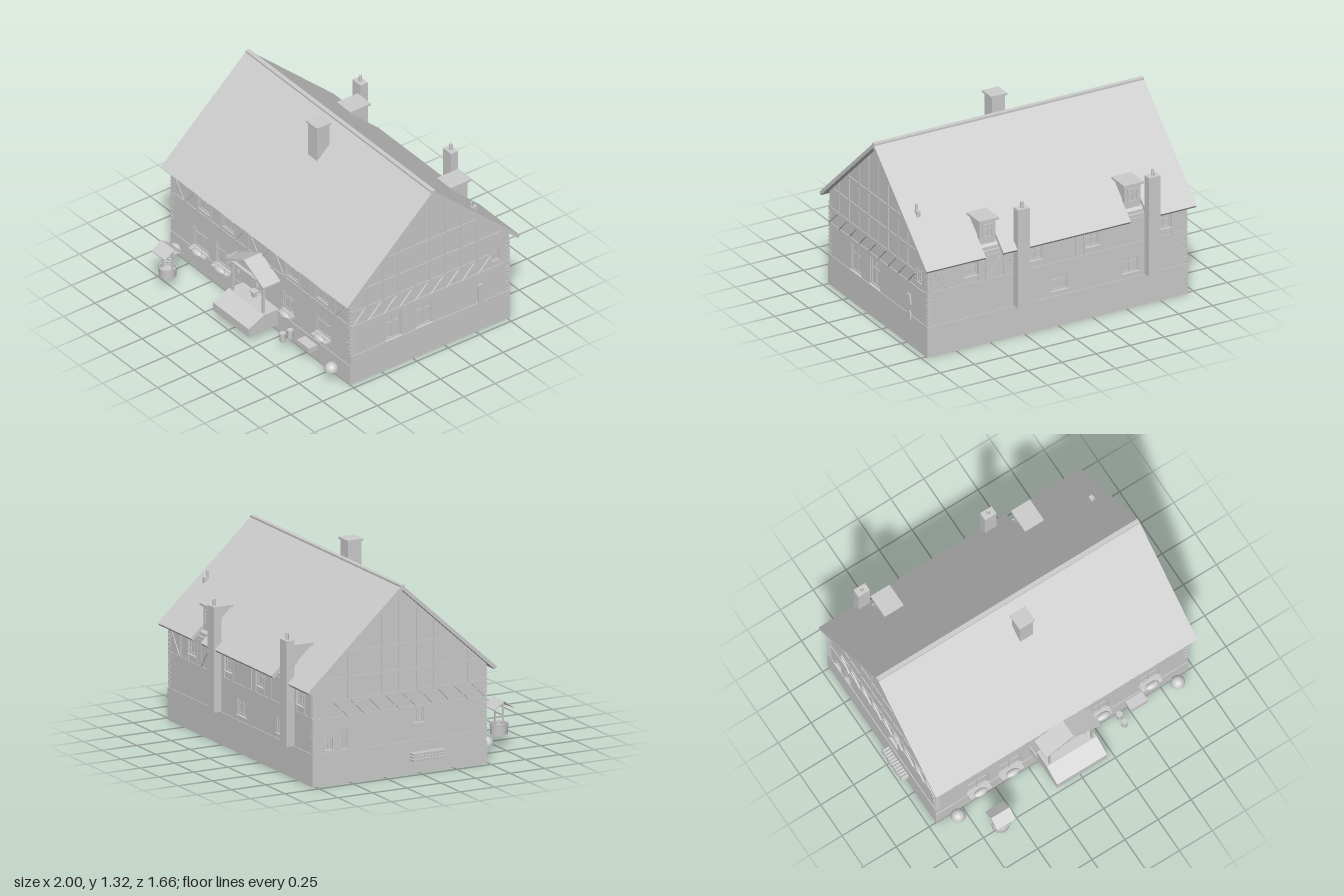
import * as THREE from 'three';

const grey = new THREE.MeshStandardMaterial({ color: 0xcccccc });
grey.name = 'plainGrey';
grey.side = THREE.DoubleSide;

function add(parent, name, geo, x = 0, y = 0, z = 0) {
  const m = new THREE.Mesh(geo, grey);
  m.name = name;
  m.position.set(x, y, z);
  parent.add(m);
  return m;
}

// Box given by its limits on each axis
function box(parent, name, x0, x1, y0, y1, z0, z1) {
  return add(parent, name, new THREE.BoxGeometry(x1 - x0, y1 - y0, z1 - z0),
    (x0 + x1) / 2, (y0 + y1) / 2, (z0 + z1) / 2);
}

function group(parent, name, x = 0, y = 0, z = 0, ry = 0) {
  const g = new THREE.Group();
  g.name = name;
  g.position.set(x, y, z);
  g.rotation.y = ry;
  parent.add(g);
  return g;
}

const shape = pts => new THREE.Shape(pts.map(p => new THREE.Vector2(p[0], p[1])));
const extrude = (s, depth) => new THREE.ExtrudeGeometry(s, { depth, bevelEnabled: false });

// Profile in (z, y), extruded from x0 to x1
function alongX(parent, name, pts, x0, x1) {
  const m = add(parent, name, extrude(shape(pts.map(p => [-p[0], p[1]])), x1 - x0), x0);
  m.rotation.y = Math.PI / 2;
}

// Flat timber between two points of a wall
function beam(wall, u0, v0, u1, v1, w = 0.016, d = 0.005) {
  const m = add(wall, 'timber', new THREE.BoxGeometry(Math.hypot(u1 - u0, v1 - v0), w, d),
    (u0 + u1) / 2, (v0 + v1) / 2, d / 2);
  m.rotation.z = Math.atan2(v1 - v0, u1 - u0);
}

const DEEP = 0.015;                            // depth of the window openings
const ZF = 0.496, ZB = -0.765, XR = -0.945, XL = 0.957;   // wall planes
const RZ = -0.135, RY = 1.26, SLOPE = 0.908;   // ridge line and roof pitch
const underRoof = z => RY - 0.033 - SLOPE * Math.abs(z - RZ);

// Framed window with a cross of glazing bars, set back into its opening
function windowAt(wall, [u0, u1, v0, v1, sill], z = -DEEP) {
  const g = group(wall, 'window', 0, 0, z), t = 0.01, c = (u0 + u1) / 2, bar = v0 + (v1 - v0) * 0.62;
  box(g, 'frameLeft', u0, u0 + t, v0, v1, 0, 0.006);
  box(g, 'frameRight', u1 - t, u1, v0, v1, 0, 0.006);
  box(g, 'frameTop', u0, u1, v1 - t, v1, 0, 0.006);
  box(g, 'frameBottom', u0, u1, v0, v0 + t, 0, 0.006);
  box(g, 'mullion', c - 0.004, c + 0.004, v0, v1, 0, 0.005);
  box(g, 'crossBar', u0, u1, bar, bar + 0.007, 0, 0.005);
  if (sill) box(wall, 'sill', u0 - 0.008, u1 + 0.008, v0 - 0.008, v0, -0.01, 0.01);
}

// Wall sheet pierced by its openings
function wallSheet(wall, outline, openings) {
  const s = shape(outline);
  for (const [a, b, c, d] of openings)
    s.holes.push(new THREE.Path([[a, c], [b, c], [b, d], [a, d]].map(p => new THREE.Vector2(...p))));
  add(wall, 'wallSheet', extrude(s, DEEP), 0, 0, -DEEP);
  openings.forEach(o => windowAt(wall, o));
}

function dome(parent, name, x, y, z, rx, ry, rz) {
  add(parent, name, new THREE.SphereGeometry(1, 16, 6, 0, Math.PI * 2, 0, Math.PI / 2), x, y, z).scale.set(rx, ry, rz);
}

export function createModel() {
  const house = new THREE.Group();
  house.name = 'house';

  // Wall core, hollow foundation with a slight ledge, floor plate
  const gable = (a, b) => [[a, 0.2], [a, underRoof(a)], [RZ, underRoof(RZ)], [b, underRoof(b)], [b, 0.2]];
  alongX(house, 'wallCore', gable(ZF - DEEP, ZB + DEEP), XR + DEEP, XL - DEEP);
  box(house, 'foundationFront', XR, XL, 0, 0.215, 0.473, ZF - DEEP);
  box(house, 'frontLedge', XR - 0.005, XL + 0.005, 0, 0.145, ZF - DEEP, ZF + 0.005);
  box(house, 'foundationBack', XR - 0.005, XL + 0.005, 0, 0.215, ZB - 0.005, -0.745);
  box(house, 'foundationLeft', 0.932, XL + 0.005, 0, 0.215, -0.745, ZF);
  box(house, 'foundationRight', XR - 0.005, -0.923, 0, 0.215, -0.745, ZF);
  box(house, 'floorPlate', -0.33, 0.08, 0.16, 0.2, 0.0, 0.38);

  // Roof slopes; the back one is notched for the dormers
  const drop = 0.625, run = 0.688, len = Math.hypot(drop, run), dormers = [-0.567, 0.497];
  for (const back of [false, true]) {
    const g = group(house, back ? 'backRoof' : 'frontRoof', 0.007, RY, RZ, back ? Math.PI : 0);
    const pts = [[-0.991, 0], [-0.991, -len]];
    if (back) for (const d of [...dormers].reverse()) {
      const u = 0.007 - d;
      pts.push([u - 0.065, -len], [u - 0.065, -0.77], [u + 0.065, -0.77], [u + 0.065, -len]);
    }
    pts.push([0.991, -len], [0.991, 0]);
    add(g, 'roofSlab', extrude(shape(pts), 0.024).translate(0, 0, -0.024)).rotation.x = -Math.atan2(run, drop);
  }
  box(house, 'ridgeCap', -0.984, 0.998, 1.24, 1.26, RZ - 0.015, RZ + 0.015);

  // Chimneys
  box(house, 'mainChimney', -0.043, 0.054, 1.0, 1.306, -0.012, 0.085);
  box(house, 'mainChimneyCap', -0.053, 0.065, 1.306, 1.32, -0.022, 0.094);
  for (const x of [-0.672, 0.288]) {
    box(house, 'backChimney', x - 0.043, x + 0.043, 0.22, 0.915, -0.83, -0.772);
    add(house, 'chimneyPot', new THREE.CylinderGeometry(0.01, 0.011, 0.045, 12), x, 0.937, -0.802);
  }
  const vent = group(house, 'roofVent', 0.897, 0, -0.525);
  box(vent, 'ventBase', -0.013, 0.013, 0.86, 0.925, -0.022, 0.018);
  add(vent, 'ventPipe', new THREE.CylinderGeometry(0.008, 0.008, 0.05, 10), 0, 0.94, 0.012);

  // Dormers with shallow roofs
  for (const x of dormers) {
    const d = group(house, 'dormer', x + 0.003);
    box(d, 'dormerBody', -0.058, 0.058, 0.6, 0.848, -0.732, -0.58);
    box(d, 'dormerRoof', -0.072, 0.072, 0.845, 0.86, -0.753, -0.587);
    windowAt(group(d, 'dormerFace', 0, 0, -0.732, Math.PI), [-0.035, 0.035, 0.73, 0.82, false], 0);
  }

  // Wall faces: u runs to the right seen from outside, v is up
  const front = group(house, 'frontFace', 0, 0, ZF);
  const back = group(house, 'backFace', 0, 0, ZB, Math.PI);
  const left = group(house, 'leftFace', XL, 0, 0, Math.PI / 2);
  const right = group(house, 'rightFace', XR, 0, 0, -Math.PI / 2);

  // Openings as u0, u1, v0, v1, sill
  const upper = [[-0.66, -0.53], [-0.405, -0.275], [0.275, 0.405], [0.595, 0.725]].map(w => [...w, 0.475, 0.585, false]);
  const lower = [[-0.71, -0.55, 0.165, 0.33, true], [-0.47, -0.305, 0.165, 0.33, true],
    [0.24, 0.36, 0.2, 0.35, true], [0.595, 0.745, 0.22, 0.36, true]];
  const frontOpenings = [...upper, ...lower, [-0.043, 0.053, 0.168, 0.36, false]];
  const backOpenings = [...[-0.64, -0.165, 0.25, 0.78].map(u => [u - 0.05, u + 0.05, 0.5, 0.595, true]),
    ...[0.01, 0.53].map(u => [u - 0.06, u + 0.06, 0.25, 0.36, true])];
  const longWall = (a, b, v) => [[a, v], [b, v], [b, 0.648], [a, 0.648]];
  wallSheet(front, longWall(XR, XL, 0.01), frontOpenings);
  wallSheet(back, longWall(-XL, -XR, 0.2), backOpenings);
  wallSheet(left, gable(ZF, ZB).map(p => [-p[0], p[1]]),
    [[-0.215, -0.09, 0.22, 0.41, true], [0.025, 0.15, 0.22, 0.41, true], [0.625, 0.69, 0.48, 0.585, false]]);
  wallSheet(right, gable(ZF, ZB),
    [[-0.68, -0.62, 0.23, 0.31, true], [-0.57, -0.51, 0.22, 0.37, false], [-0.04, 0.04, 0.33, 0.43, true]]);
  add(left, 'barePatch', extrude(shape([[0.515, 0.355], [0.518, 0.185], [0.53, 0.2], [0.562, 0.185], [0.55, 0.25], [0.56, 0.29], [0.548, 0.355]]), 0.012));

  // Flower beds under the lower front windows
  for (const [u0, u1, v] of lower) {
    dome(front, 'flowerBed', (u0 + u1) / 2, v - 0.006, 0.035, 0.05, 0.022, 0.025);
    box(front, 'flowerShelf', u0, u1, v - 0.016, v - 0.005, 0, 0.045);
  }

  // Timber frame on the long walls, clear of the windows
  for (const [wall, openings] of [[front, upper], [back, backOpenings]]) {
    const clear = (a, b) => openings.every(o => b < o[0] || a > o[1]);
    beam(wall, -0.945, 0.445, 0.945, 0.445);
    beam(wall, -0.945, 0.615, 0.945, 0.615);
    openings.filter(o => o[3] > 0.5).forEach(o => [o[0] - 0.008, o[1] + 0.008].forEach(u => beam(wall, u, 0.445, u, 0.64, 0.012)));
    for (let i = 0; i <= 14; i++) {
      const u = -0.93 + i * 0.133;
      if (clear(u, u)) beam(wall, u, 0.445, u, 0.64, 0.012);
      if (i < 14 && clear(u, u + 0.12)) beam(wall, u, i % 2 ? 0.45 : 0.61, u + 0.12, i % 2 ? 0.61 : 0.45, 0.012);
    }
  }

  // Timber frame on the gables
  for (const [wall, s] of [[left, -1], [right, 1]]) {
    const span = (v, z0, z1) => beam(wall, s * z0, v, s * z1, v);
    span(0.435, ZF, ZB);
    span(0.545, ZF, -0.61);
    span(0.69, 0.42, -0.69);
    span(0.86, 0.24, -0.51);
    for (let i = 0; i < 9; i++) {
      const z = 0.485 - i * 0.125;
      beam(wall, s * z, 0.44, s * (z - 0.1), 0.54, 0.004, 0.011);
      if (i < 8) beam(wall, s * (z - 0.12), 0.545, s * (z - 0.12), underRoof(z - 0.12) - 0.01, 0.012);
    }
  }

  // Corner stones, long and short by turns
  for (const [x, sx] of [[XR, 1], [XL, -1]]) for (const [z, sz] of [[ZF, -1], [ZB, 1]])
    for (let i = 0; i < 14; i++) {
      const a = i % 2 ? 0.036 : 0.018, b = i % 2 ? 0.018 : 0.036;
      add(house, 'cornerStone', new THREE.BoxGeometry(a, 0.017, b),
        x + sx * (a / 2 - 0.004), 0.23 + i * 0.027, z + sz * (b / 2 - 0.004));
    }

  // Porch: ramped base, posts, gabled canopy, lanterns and a bench
  const porch = group(house, 'porch', 0.007);
  alongX(porch, 'porchBase', [[ZF, 0.045], [0.735, 0.045], [0.735, 0.105], [0.615, 0.165], [ZF, 0.165]], -0.189, 0.189);
  for (const s of [-1, 1]) {
    box(porch, 'porchPost', s * 0.16 - 0.008, s * 0.16 + 0.008, 0.16, 0.385, 0.592, 0.608);
    box(porch, 'porchSideBeam', s * 0.16 - 0.008, s * 0.16 + 0.008, 0.37, 0.39, ZF, 0.615);
    add(porch, 'lantern', new THREE.CylinderGeometry(0.008, 0.011, 0.03, 8), s * 0.1, 0.35, 0.6);
    const rs = [[0, 0.497], [s * 0.207, 0.392], [s * 0.207, 0.38], [0, 0.482]];
    add(porch, 'canopySlope', extrude(shape(rs), 0.137), 0, 0, ZF);
  }
  box(porch, 'porchBeam', -0.17, 0.17, 0.375, 0.39, 0.59, 0.612);
  box(porch, 'bench', -0.045, 0.005, 0.2, 0.21, 0.515, 0.56);
  box(porch, 'benchLeg', -0.035, -0.005, 0.16, 0.2, 0.525, 0.55);

  // Blank board hanging from a bracket
  box(house, 'hangingBoard', -0.243, -0.237, 0.305, 0.362, 0.515, 0.587);
  box(house, 'boardBracket', -0.243, -0.237, 0.366, 0.372, ZF, 0.587);

  // Well with a small saddle roof
  const well = group(house, 'well', -0.63, 0, 0.762);
  add(well, 'wellDrum', new THREE.CylinderGeometry(0.06, 0.056, 0.07, 24, 1, true), 0, 0.12, 0);
  add(well, 'wellWater', new THREE.CylinderGeometry(0.056, 0.056, 0.03, 24), 0, 0.1, 0);
  add(well, 'wellRim', new THREE.TorusGeometry(0.056, 0.005, 6, 24), 0, 0.148, 0).rotation.x = Math.PI / 2;
  for (const s of [-1, 1]) {
    box(well, 'wellPost', s * 0.052 - 0.005, s * 0.052 + 0.005, 0.1, 0.29, -0.005, 0.005);
    alongX(well, 'wellRoof', [[0, 0.315], [s * 0.073, 0.262], [s * 0.073, 0.256], [0, 0.307]], -0.07, 0.07);
  }
  add(well, 'windlass', new THREE.CylinderGeometry(0.008, 0.008, 0.11, 10), 0, 0.22, 0).rotation.z = Math.PI / 2;

  // Garden things along the walls
  for (const x of [-0.823, 0.844]) dome(house, 'boulder', x, 0.085, 0.563, 0.048, 0.05, 0.047);
  for (const z of [0.56, 0.62])
    add(house, 'barrel', new THREE.CylinderGeometry(0.021, 0.019, 0.065, 14), 0.403, 0.113, z);
  box(house, 'trough', 0.484, 0.612, 0.08, 0.118, ZF, 0.57);
  for (let row = 0; row < 3; row++) for (let i = 0; i < 11; i++)
    add(house, 'firewoodLog', new THREE.CylinderGeometry(0.01, 0.01, 0.052, 8),
      -0.974, 0.095 + row * 0.019, -0.052 + i * 0.022).rotation.z = Math.PI / 2;

  return house;
}
